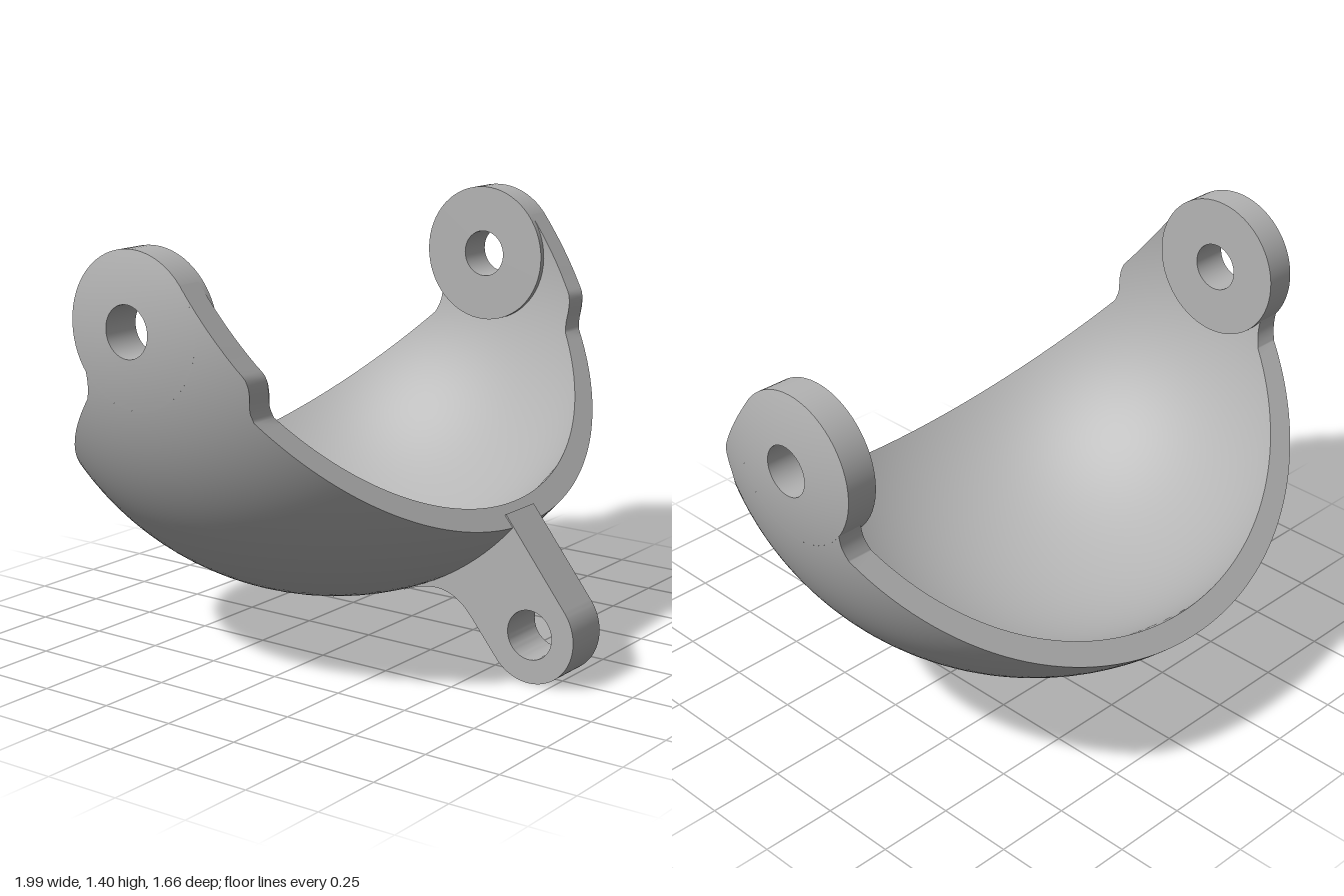
import * as THREE from 'three';
import { toCreasedNormals } from 'three/addons/utils/BufferGeometryUtils.js';

const OUTER = 1, INNER = 0.92;              // shell radii
const EAR = 0.237, HOLE = 0.08, FLAT = 0.87; // pivot ear radius, hole radius, inner face
const CENTRE = new THREE.Vector3(0, 1.16, -0.13);
const FILLET = 16, RIM = 32, COLS = 32;
const ARC_START = THREE.MathUtils.degToRad(39.3), ARC_END = THREE.MathUtils.degToRad(-143);

const earPoint = a => new THREE.Vector2(EAR * Math.cos(a), EAR * Math.sin(a));
const v2 = list => list.map(p => new THREE.Vector2(...p));

// Side outline in (z, y) about the sphere centre: a blend below the ear, then a straight rim
const FRONT = {
  blend: new THREE.SplineCurve([earPoint(ARC_START), ...v2([[0.24, 0.075], [0.3, -0.005],
    [0.352, -0.075], [0.376, -0.108], [0.381, -0.14], [0.378, -0.18], [0.378, -0.21], [0.384, -0.235]])]),
  normal: new THREE.Vector2(0.774, 0.633), along: new THREE.Vector2(0.633, -0.774), offset: 0.148, start: 0.425,
};
const BACK = {
  blend: new THREE.SplineCurve([earPoint(ARC_END), ...v2([[-0.188, -0.16], [-0.19, -0.185],
    [-0.196, -0.208], [-0.205, -0.23]])]),
  normal: new THREE.Vector2(-0.707, 0.707), along: new THREE.Vector2(-0.707, -0.707), offset: -0.018, start: 0.308,
};

// Lift a (z, y) point onto the sphere of radius r
const lift = (p, r) => new THREE.Vector3(Math.sqrt(Math.max(0, r * r - p.lengthSq())), p.y, p.x);

// Edge of the shell from the ear to the middle plane
function edge(side, r) {
  const pts = [];
  for (let k = 0; k < FILLET; k++) pts.push(lift(side.blend.getPoint(k / FILLET), r));
  const reach = Math.sqrt(r * r - side.offset ** 2);
  const a0 = Math.asin(side.start / reach);
  for (let k = 0; k <= RIM; k++) {
    const a = a0 + (Math.PI / 2 - a0) * k / RIM;
    const p = side.normal.clone().multiplyScalar(side.offset).addScaledVector(side.along, reach * Math.sin(a));
    const q = lift(p, r);
    if (k === RIM) q.x = 0;
    pts.push(q);
  }
  return pts;
}

// Append the mirrored half so rows run from one ear to the other
const mirrorRows = rows => rows.concat(rows.slice(0, -1).reverse()
  .map(row => row.map(p => new THREE.Vector3(-p.x, p.y, p.z))));

function gridGeometry(rows, flip, sphereNormals) {
  const w = rows[0].length, pos = [], idx = [];
  rows.forEach(row => row.forEach(p => pos.push(p.x, p.y, p.z)));
  for (let i = 0; i < rows.length - 1; i++) {
    for (let j = 0; j < w - 1; j++) {
      const a = i * w + j, b = a + w, c = a + 1, d = b + 1;
      if (flip) idx.push(a, c, b, c, d, b);
      else idx.push(a, b, c, c, b, d);
    }
  }
  const g = new THREE.BufferGeometry();
  g.setAttribute('position', new THREE.Float32BufferAttribute(pos, 3));
  g.setIndex(idx);
  if (sphereNormals) {
    const s = flip ? -1 : 1, n = [];
    rows.flat().forEach(p => { const q = p.clone().normalize().multiplyScalar(s); n.push(q.x, q.y, q.z); });
    g.setAttribute('normal', new THREE.Float32BufferAttribute(n, 3));
  } else g.computeVertexNormals();
  return g;
}

// Spherical sheet between the front and back edges, starting at the ear circle
function sheet(r, flip) {
  const front = edge(FRONT, r), back = edge(BACK, r), n = front.length - 1;
  const across = (k, u) => front[k].clone().lerp(back[k], u).setLength(r);
  const rows = front.map((_, k) => {
    const row = [];
    for (let j = 0; j <= COLS; j++) {
      const u = j / COLS;
      const shift = lift(earPoint(ARC_START + (ARC_END - ARC_START) * u), r).sub(across(0, u));
      row.push(across(k, u).addScaledVector(shift, 1 - k / n).setLength(r));
    }
    return row;
  });
  return gridGeometry(mirrorRows(rows), flip, true);
}

// Wall joining the outer and inner sheets along one edge
function rimWall(side, flip) {
  const outer = edge(side, OUTER), inner = edge(side, INNER);
  return gridGeometry(mirrorRows(outer.map((p, k) => [p, inner[k]])), flip, false);
}

// Round pivot ear with a hole: flat inside, domed outside
function buildEar(sign, material) {
  const ear = new THREE.Group();
  ear.name = sign > 0 ? 'leftPivotEar' : 'rightPivotEar';
  const dome = [];
  for (let k = 0; k <= 8; k++) {
    const r = EAR + (HOLE - EAR) * k / 8;
    dome.push([r, Math.sqrt(OUTER * OUTER - r * r)]);
  }
  const profiles = {
    earInnerFace: [[HOLE, FLAT], [EAR, FLAT]],
    earSide: [[EAR, FLAT], dome[0]],
    earDome: dome,
    earHole: [dome[8], [HOLE, FLAT]],
  };
  for (const [name, pts] of Object.entries(profiles)) {
    const mesh = new THREE.Mesh(new THREE.LatheGeometry(v2(pts), 64), material);
    mesh.name = name;
    ear.add(mesh);
  }
  ear.rotation.z = -sign * Math.PI / 2;
  return ear;
}

// Lever with a rounded, drilled end, drawn in (z, y) and extruded across x
function leverGeometry(width) {
  const cz = 0.675, cy = 0.157, r = 0.157, a = Math.atan2(0.633, 0.774);
  const s = new THREE.Shape();
  s.moveTo(0.583, 0.53);
  s.lineTo(cz + r * Math.cos(a), cy + r * Math.sin(a));
  s.absarc(cz, cy, r, a, a - Math.PI, true);
  s.lineTo(0.462, 0.17);
  s.bezierCurveTo(0.42, 0.222, 0.375, 0.247, 0.318, 0.246);
  s.quadraticCurveTo(0.26, 0.242, 0.2, 0.216);
  // upper end buried within the shell thickness
  for (let k = 0; k <= 8; k++) {
    const t = THREE.MathUtils.degToRad(-69.7 + 27.5 * k / 8);
    s.lineTo(CENTRE.z + 0.95 * Math.cos(t), CENTRE.y + 0.95 * Math.sin(t));
  }
  s.closePath();
  const hole = new THREE.Path();
  hole.absarc(cz, cy, HOLE, 0, Math.PI * 2, false);
  s.holes.push(hole);
  const g = new THREE.ExtrudeGeometry(s, { depth: width, bevelEnabled: false, curveSegments: 28 });
  g.translate(0, 0, -width / 2).rotateY(-Math.PI / 2);
  return toCreasedNormals(g, 0.5);
}

export function createModel() {
  const group = new THREE.Group();
  group.name = 'pivotingBowlBracket';
  const grey = new THREE.MeshStandardMaterial({ color: 0xb4b4b4 });
  grey.name = 'grey';

  const bowl = new THREE.Group();
  bowl.name = 'bowl';
  bowl.position.copy(CENTRE);
  const parts = {
    bowlOutside: sheet(OUTER, false),
    bowlInside: sheet(INNER, true),
    frontRim: rimWall(FRONT, true),
    backRim: rimWall(BACK, false),
  };
  for (const [name, geometry] of Object.entries(parts)) {
    const mesh = new THREE.Mesh(geometry, grey);
    mesh.name = name;
    bowl.add(mesh);
  }
  for (const sign of [1, -1]) bowl.add(buildEar(sign, grey));
  group.add(bowl);

  const lever = new THREE.Mesh(leverGeometry(0.16), grey);
  lever.name = 'frontLever';
  group.add(lever);
  return group;
}
